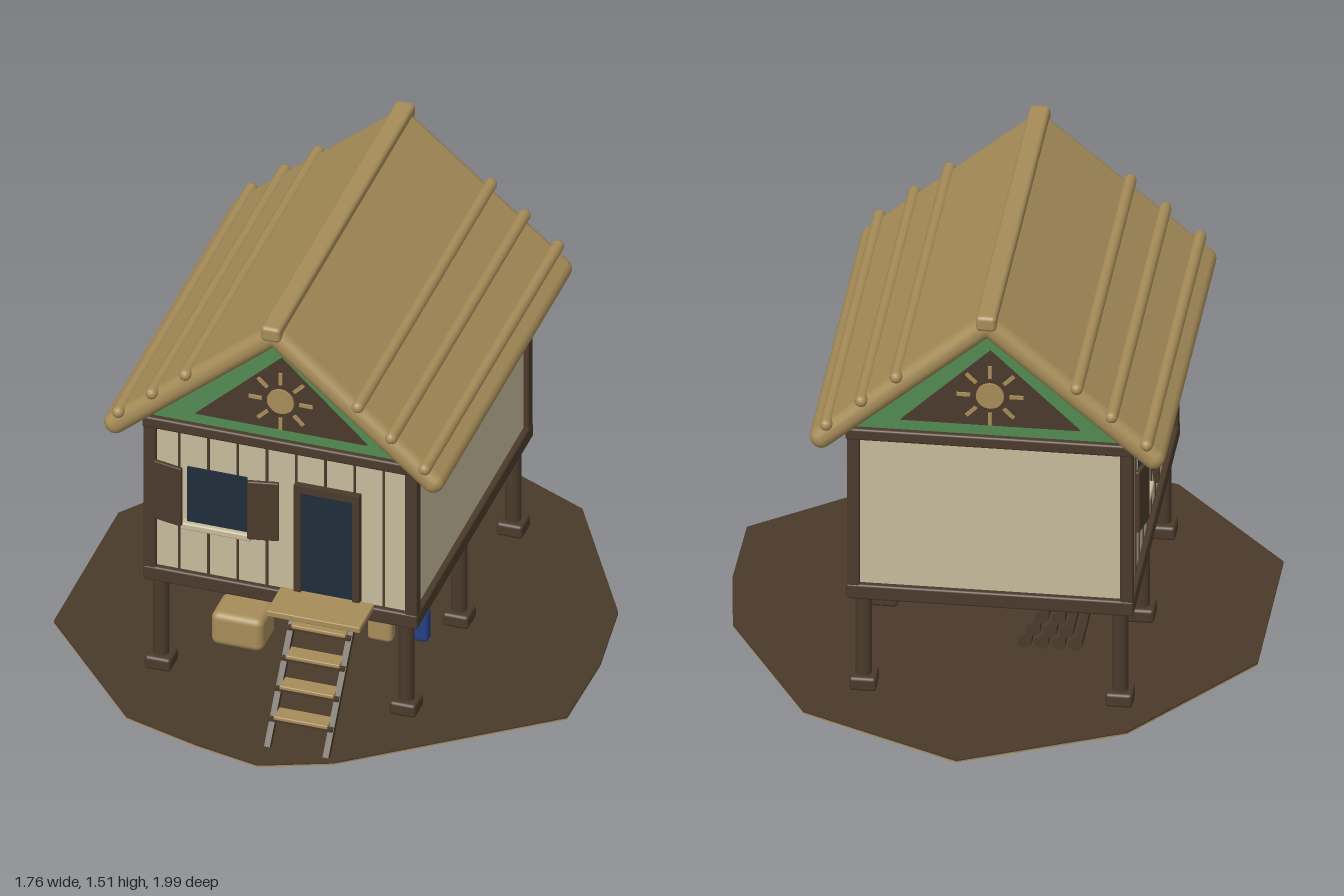
import * as THREE from 'three';
import { RoundedBoxGeometry } from 'three/addons/geometries/RoundedBoxGeometry.js';

const material = (name, color) => {
  const m = new THREE.MeshStandardMaterial({ color });
  m.name = name;
  return m;
};

export function createModel() {
  const thatch = material('thatch', 0xa68c58);
  const wood = material('dark wood', 0x4a3a2b);
  const plaster = material('plaster', 0xc6bb9c);
  const green = material('green paint', 0x528a52);
  const glass = material('dark glass', 0x1f2c3c);
  const blue = material('blue plastic', 0x243f85);

  const model = new THREE.Group();
  model.name = 'stiltHut';
  const CX = -0.06, CZ = -0.015; // centre of the hut

  const add = (name, geo, mat, x, y, z, parent = model) => {
    const m = new THREE.Mesh(geo, mat);
    m.name = name;
    m.position.set(x, y, z);
    parent.add(m);
    return m;
  };
  const box = (name, mat, w, h, d, x, y, z, parent) =>
    add(name, new THREE.BoxGeometry(w, h, d), mat, x, y, z, parent);
  const rbox = (name, mat, w, h, d, r, x, y, z, parent) =>
    add(name, new RoundedBoxGeometry(w, h, d, 3, r), mat, x, y, z, parent);
  const group = (name, x, y, z, parent = model) => {
    const g = new THREE.Group();
    g.name = name;
    g.position.set(x, y, z);
    parent.add(g);
    return g;
  };

  // Ground slab: dark soil over a pale underside
  const outline = [[0, -1], [0.53, -0.75], [0.83, -0.22], [0.87, 0.08], [0.865, 0.41], [0.23, 0.9],
    [0, 0.99], [-0.23, 0.94], [-0.49, 0.86], [-0.89, 0.41], [-0.89, -0.25], [-0.525, -0.75]];
  const groundShape = new THREE.Shape(outline.map(([x, z]) => new THREE.Vector2(x, z)));
  const groundGeo = new THREE.ExtrudeGeometry(groundShape, { depth: 0.005, bevelEnabled: false });
  groundGeo.rotateX(Math.PI / 2);
  add('groundTop', groundGeo, wood, 0, 0.01, 0);
  add('groundUnderside', groundGeo, thatch, 0, 0.005, 0);

  // Stilts and feet
  for (const x of [-0.48, 0.358]) {
    for (const z of [0.536, -0.005, -0.557]) {
      add('stilt', new THREE.CylinderGeometry(0.027, 0.027, 0.34, 16), wood, x, 0.2, z);
      rbox('stiltFoot', wood, 0.09, 0.05, 0.09, 0.012, x, 0.035, z);
    }
  }

  // Floor frame, walls, corner posts and top frame
  rbox('floorFrame', wood, 0.94, 0.055, 1.19, 0.008, CX, 0.387, CZ);
  rbox('walls', plaster, 0.9, 0.57, 1.15, 0.015, CX, 0.685, CZ);
  rbox('topFrame', wood, 0.945, 0.042, 1.19, 0.008, CX, 0.976, CZ);
  for (const sx of [-1, 1]) for (const sz of [-1, 1]) {
    rbox('cornerPost', wood, 0.042, 0.56, 0.042, 0.006, CX + sx * 0.447, 0.685, CZ + sz * 0.572);
  }

  // Gaps between planks on the front and on the right-hand side
  for (let i = 0; i < 8; i++) box('plankGap', wood, 0.008, 0.545, 0.006, -0.41 + i * 0.1, 0.685, 0.561);
  for (let i = 0; i < 11; i++) box('plankGap', wood, 0.006, 0.545, 0.008, -0.511, 0.685, -0.515 + i * 0.1);

  // Shuttered window, facing +z
  const makeWindow = (x, z, turn) => {
    const g = group('window', x, 0.72, z);
    g.rotation.y = turn;
    box('windowPane', glass, 0.204, 0.212, 0.008, 0, 0, 0.01, g);
    rbox('windowSill', plaster, 0.24, 0.025, 0.035, 0.006, 0, -0.117, 0.014, g);
    for (const s of [-1, 1]) {
      const shutter = rbox('shutter', wood, 0.104, 0.226, 0.016, 0.005, s * 0.163, 0.002, 0.028, g);
      shutter.rotation.y = s * 0.2;
    }
  };
  makeWindow(-0.277, 0.56, 0);
  for (const s of [-1, 1]) makeWindow(-0.51, CZ + s * 0.265, -Math.PI / 2);

  // Door
  const door = group('door', 0.1, 0, 0.565);
  box('doorPanel', glass, 0.184, 0.41, 0.009, 0, 0.61, 0.004, door);
  for (const s of [-1, 1]) box('doorJamb', wood, 0.024, 0.425, 0.03, s * 0.1, 0.627, 0.004, door);
  box('doorLintel', wood, 0.224, 0.026, 0.032, 0, 0.827, 0.004, door);

  // Gables with a sun ornament at both ends
  const triangle = (half, height, depth) => {
    const s = new THREE.Shape();
    s.moveTo(-half, 0).lineTo(half, 0).lineTo(0, height);
    return new THREE.ExtrudeGeometry(s, { depth, bevelEnabled: false });
  };
  for (const side of [1, -1]) {
    const g = group('gable', CX, 0, CZ + side * 0.545);
    if (side < 0) g.rotation.y = Math.PI;
    add('gableBoard', triangle(0.44, 0.425, 0.03), green, 0, 0.995, 0, g);
    add('gablePanel', triangle(0.293, 0.278, 0.008), wood, 0, 1.037, 0.03, g);
    const sun = group('sunOrnament', 0, 1.15, 0.041, g);
    const disc = add('sunDisc', new THREE.CylinderGeometry(0.046, 0.046, 0.009, 24), thatch, 0, 0, 0, sun);
    disc.rotation.x = Math.PI / 2;
    for (let i = 0; i < 8; i++) {
      const a = i * Math.PI / 4;
      const ray = box('sunRay', thatch, 0.045, 0.012, 0.007, Math.cos(a) * 0.087, Math.sin(a) * 0.087, 0, sun);
      ray.rotation.z = a;
    }
  }

  // Thatched roof slopes, binding poles and ridge cap
  const pitch = 0.704;
  const roof = group('roof', CX, 1.456, CZ);
  for (const s of [-1, 1]) {
    const slope = group('roofSlope', 0, 0, 0, roof);
    slope.rotation.z = -s * pitch;
    rbox('thatchSlab', thatch, 0.77, 0.075, 1.37, 0.036, s * 0.365, 0, 0, slope);
    for (const along of [0.357, 0.507, 0.657]) {
      const pole = add('roofPole', new THREE.CapsuleGeometry(0.021, 1.36, 4, 12), thatch, s * along, 0.036, 0, slope);
      pole.rotation.x = Math.PI / 2;
    }
  }
  rbox('ridgeCap', thatch, 0.068, 0.056, 1.395, 0.015, 0, 0.022, 0, roof);

  // Landing and ladder
  rbox('landing', thatch, 0.32, 0.022, 0.15, 0.004, 0.1, 0.415, 0.645);
  const lean = Math.atan2(-0.3, 0.39);
  for (const x of [0, 0.2]) {
    box('ladderRail', wood, 0.02, 0.495, 0.022, x, 0.205, 0.732).rotation.x = lean;
  }
  for (let i = 0; i < 4; i++) {
    const y = 0.097 + i * 0.08, z = 0.82 - i * 0.061;
    rbox('ladderTread', thatch, 0.185, 0.014, 0.06, 0.004, 0.1, y + 0.006, z);
    box('treadSupport', wood, 0.215, 0.012, 0.05, 0.1, y - 0.006, z);
  }

  // Sack and two jugs under the floor
  rbox('sack', thatch, 0.178, 0.125, 0.146, 0.025, -0.275, 0.075, 0.313);
  for (const [x, z, mat] of [[0.15, 0.17, thatch], [0.26, 0.132, blue]]) {
    rbox('jug', mat, 0.085, 0.122, 0.046, 0.014, x, 0.072, z);
    add('jugCap', new THREE.CylinderGeometry(0.011, 0.011, 0.024, 12), wood, x + 0.005, 0.142, z);
  }

  // Stacked firewood
  for (let row = 0; row < 3; row++) {
    for (let i = 0; i < 4 - row; i++) {
      const log = add('log', new THREE.CylinderGeometry(0.025, 0.025, 0.28, 6).toNonIndexed(), wood,
        -0.13 - row * 0.0275 - i * 0.055, 0.038 + row * 0.047, -0.12);
      log.geometry.computeVertexNormals();
      log.rotation.x = Math.PI / 2;
    }
  }
  return model;
}
